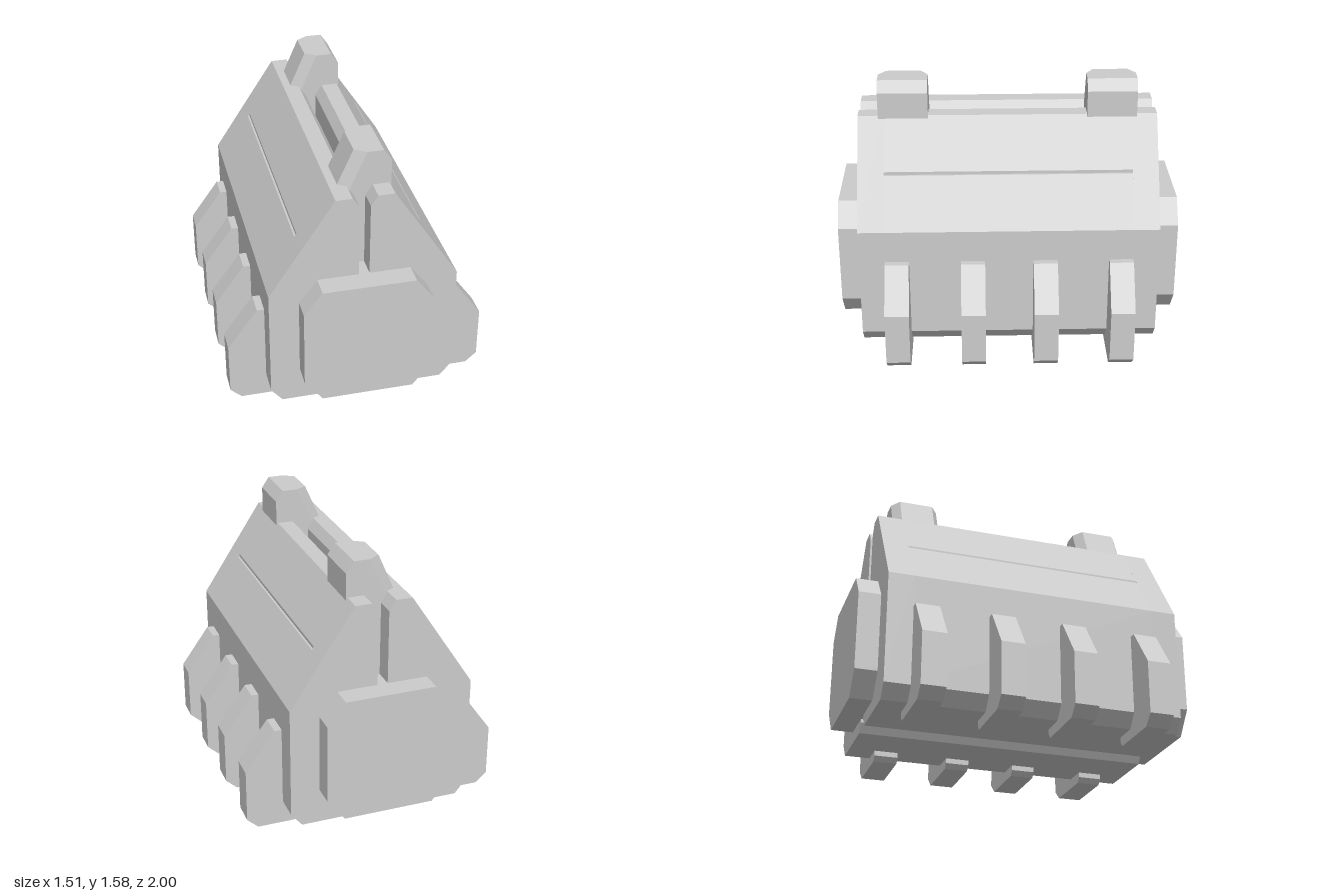
import * as THREE from 'three';
import { ConvexGeometry } from 'three/addons/geometries/ConvexGeometry.js';

const material = new THREE.MeshStandardMaterial({ color: 0xcccccc, flatShading: true });

// Prism with an x-y profile, running from z0 to z1; side = -1 mirrors it in x
function prism(name, profile, z0, z1, side = 1) {
  const shape = new THREE.Shape(profile.map(([x, y]) => new THREE.Vector2(x * side, y)));
  const geometry = new THREE.ExtrudeGeometry(shape, { depth: z1 - z0, bevelEnabled: false });
  geometry.translate(0, 0, z0);
  const mesh = new THREE.Mesh(geometry, material);
  mesh.name = name;
  return mesh;
}

// Slanted block on the ridge: horizontal sections whose left edge leans inward going up
function ridgeClip(zCentre) {
  const points = [];
  for (const [y, right] of [[0.86, 0.175], [1.51, 0.175], [1.575, 0.13]]) {
    const left = -0.028 - (1.575 - y) * 0.44;
    for (const s of [-1, 1]) {
      points.push(
        new THREE.Vector3(left, y, s * 0.102),
        new THREE.Vector3(left + 0.066, y, s * 0.145),
        new THREE.Vector3(right, y, s * 0.145)
      );
    }
  }
  const mesh = new THREE.Mesh(new ConvexGeometry(points), material);
  mesh.name = 'ridgeClip';
  mesh.position.z = zCentre;
  return mesh;
}

export function createModel() {
  const model = new THREE.Group();
  model.name = 'model';

  // Octagonal core, protruding at both ends
  model.add(prism('core', [
    [-0.265, 0.135], [0.265, 0.135], [0.37, 0.27], [0.37, 0.74],
    [0.265, 0.875], [-0.265, 0.875], [-0.37, 0.74], [-0.37, 0.27],
  ], -1, 1));

  // Shell half outline, split at the slope so a slot can be cut there
  const lower = [[0.03, 1.31], [0.03, 0.112], [0.065, 0.06], [0.475, 0.06], [0.54, 0.14], [0.54, 0.8]];
  const slot = [[0.359, 1.075], [0.347, 1.075], [0.347, 1.093]];
  const upper = [[0.165, 1.37], [0.07, 1.37]];

  // Side leg
  const leg = [
    [0.33, 0.1], [0.33, 0.03], [0.355, 0], [0.69, 0],
    [0.755, 0.06], [0.755, 0.37], [0.582, 0.61], [0.5, 0.61],
  ];

  for (const side of [1, -1]) {
    const half = new THREE.Group();
    half.name = side > 0 ? 'leftHalf' : 'rightHalf';
    half.add(
      prism('slottedShell', [...lower, ...slot, ...upper], -0.72, 0.72, side),
      prism('shellFrontEnd', [...lower, ...upper], 0.72, 0.87, side),
      prism('shellBackEnd', [...lower, ...upper], -0.87, -0.72, side)
    );
    for (const z of [-0.65, -0.21, 0.21, 0.65]) half.add(prism('leg', leg, z - 0.07, z + 0.07, side));
    model.add(half);
  }

  // Clips bridging the two halves at the ridge
  for (const z of [-0.607, 0.607]) model.add(ridgeClip(z));

  return model;
}
